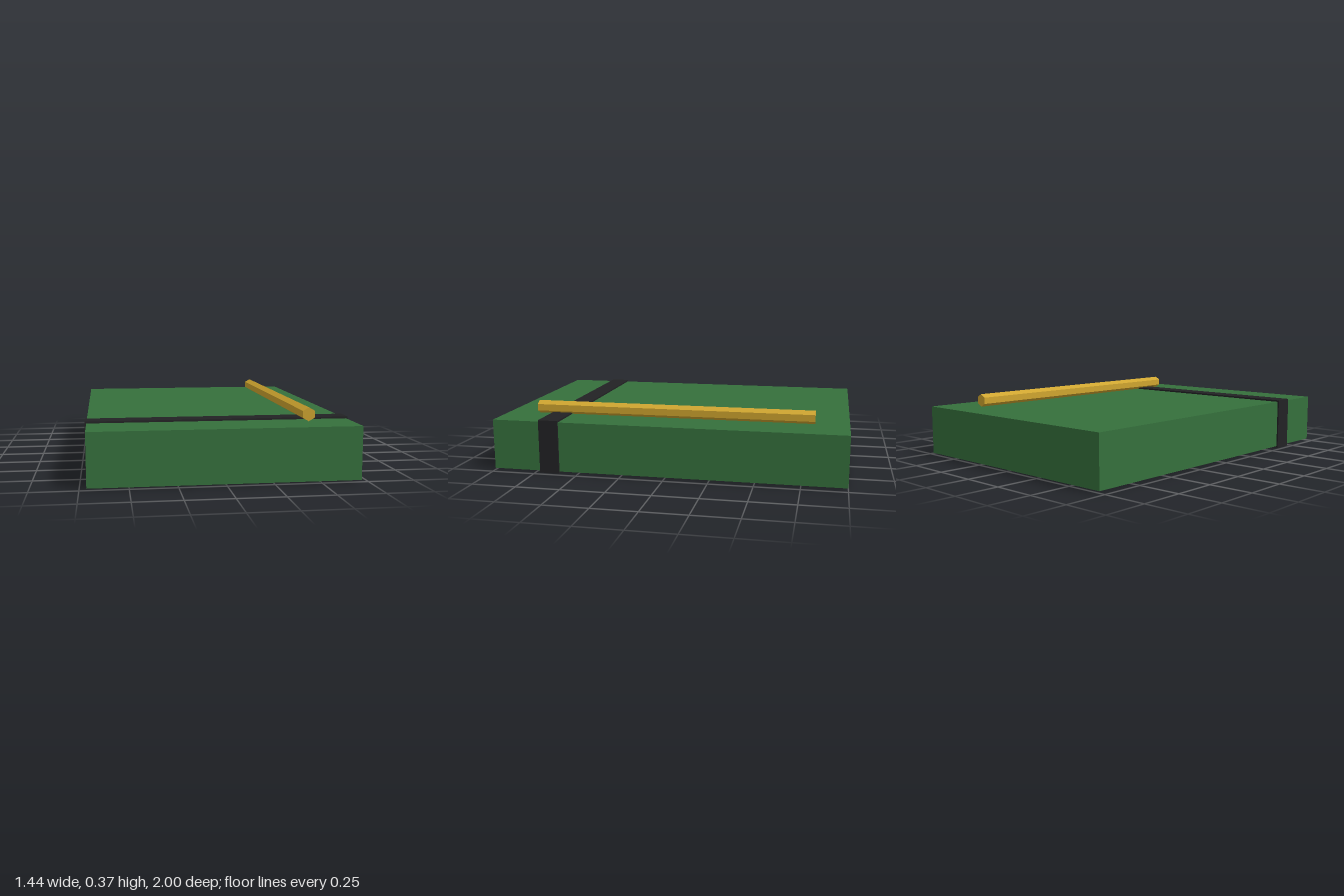
import * as THREE from 'three';

export function createModel() {
  const model = new THREE.Group();
  const add = (name, geometry, color, x, y, z) => {
    const material = new THREE.MeshStandardMaterial({ color });
    material.flatShading = true;
    const mesh = new THREE.Mesh(geometry, material);
    mesh.name = name;
    mesh.position.set(x, y, z);
    model.add(mesh);
  };

  // Notebook block
  add('notebook', new THREE.BoxGeometry(1.426, 0.286, 2), 0x35703c, 0, 0.153, 0);

  // Elastic band wrapped around the notebook near the front
  add('elasticBand', new THREE.BoxGeometry(1.444, 0.306, 0.114), 0x222224, 0, 0.153, 0.666);

  // Hexagonal pencil lying along z, one ridge up
  const pencil = new THREE.CylinderGeometry(0.038, 0.038, 1.62, 6).rotateX(Math.PI / 2);
  add('pencil', pencil, 0xcfa52e, 0.475, 0.335, 0);

  return model;
}
